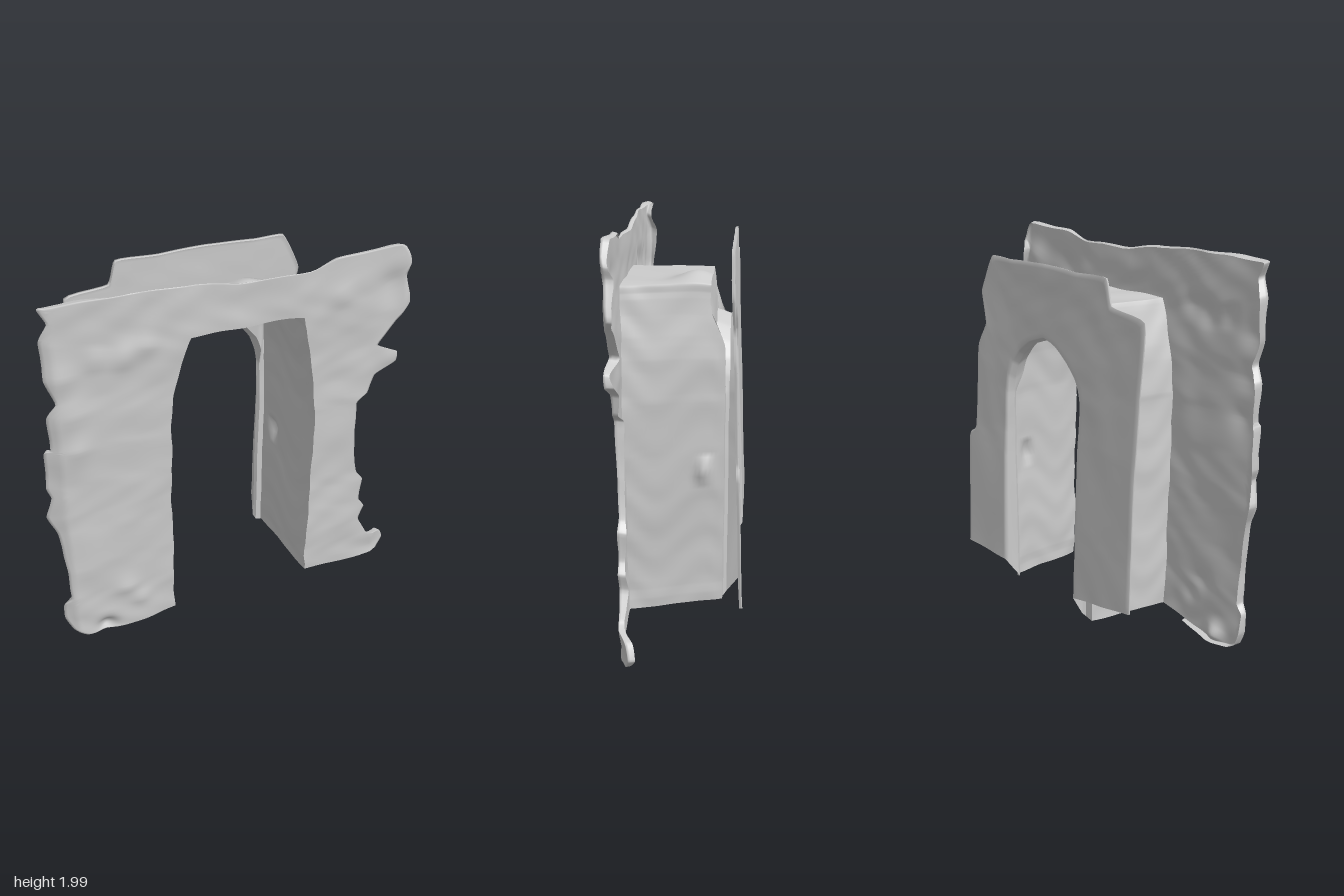
import * as THREE from 'three';

const stone = new THREE.MeshStandardMaterial({ color: 0xcccccc, side: THREE.DoubleSide });

// Local swellings and dents: centre, push, radius
const bumps = [
  [[0.2, 1.73, -0.06], [0, 0.05, 0], 0.1],
  [[0.38, 0.82, -0.11], [0.05, 0, 0], 0.035],
  [[-0.28, 0.85, -0.12], [-0.03, 0, 0], 0.04],
  [[-0.83, 1.63, 0.28], [0, 0, 0.02], 0.08],
  [[-0.82, 1.42, 0.28], [0, 0, 0.018], 0.08],
  [[-0.8, 1.22, 0.28], [0, 0, 0.015], 0.07],
  [[-0.68, 1.69, 0.29], [0, 0, 0.015], 0.06],
  [[-0.55, 1.69, 0.29], [0, 0, 0.015], 0.06],
  [[-0.44, 1.71, 0.29], [0, 0, 0.014], 0.06],
  [[-0.72, 0.05, 0.26], [0, 0, -0.04], 0.05],
  [[-0.6, 0.3, 0.26], [0, 0, 0.012], 0.06],
  [[-0.52, 0.2, 0.26], [0, 0, 0.012], 0.05],
  [[0.82, 1.4, 0.28], [0, 0, 0.015], 0.07],
  [[0.9, 0.1, 0.26], [0, 0, -0.02], 0.08],
  [[0.8, 1.78, 0.28], [0, 0, -0.015], 0.08],
  [[0.52, 1.8, 0.29], [0, 0, 0.01], 0.07],
].map(([c, d, r]) => ({ c: new THREE.Vector3(...c), d: new THREE.Vector3(...d), r }));

// Weathering shared by all surfaces, so that neighbouring parts meet
function weather(p) {
  const { x, y, z } = p;
  const k = z < -0.18 ? 0.4 : 1;
  p.z += k * (0.004 * Math.sin(5 * x + 2) * Math.sin(9 * y + 2 * Math.sin(4 * x))
    + 0.003 * Math.sin(13 * x + 3 * Math.sin(5 * y)) * Math.sin(19 * y + 2 * Math.sin(7 * x))
    + 0.0012 * Math.sin(23 * x + 2 * Math.sin(11 * y)) * Math.sin(37 * y));
  p.x += k * (0.003 * Math.sin(11 * y + 7 * z) + 0.002 * Math.sin(31 * y + 3 * Math.sin(13 * z)));
  p.y += k * 0.003 * Math.sin(21 * x + 13 * z);
  // outer ends of the front wall curl back
  if (z > 0.1) p.z -= 0.5 * Math.max(0, Math.abs(x) - 0.87);
  for (const b of bumps) {
    const q = Math.hypot(x - b.c.x, y - b.c.y, z - b.c.z) / b.r;
    if (q < 3) p.addScaledVector(b.d, Math.exp(-q * q));
  }
  return p;
}

// Surface ruled between matching section curves
function loft(name, sections, rows, sub = 5) {
  const n = (sections[0].length - 1) * sub;
  const curves = sections.map(s => new THREE.CatmullRomCurve3(
    s.map(p => new THREE.Vector3(...p)), false, 'catmullrom', 0.2));
  const pos = [], index = [];
  const ring = (a, b, t) => {
    for (let i = 0; i <= n; i++) {
      const p = a.getPoint(i / n).lerp(b.getPoint(i / n), t);
      pos.push(...weather(p).toArray());
    }
  };
  curves.slice(1).forEach((c, k) => {
    for (let j = k ? 1 : 0; j <= rows[k]; j++) ring(curves[k], c, j / rows[k]);
  });
  const count = pos.length / 3 / (n + 1);
  for (let j = 0; j < count - 1; j++) {
    for (let i = 0; i < n; i++) {
      const a = j * (n + 1) + i, b = a + n + 1;
      index.push(a, b, a + 1, a + 1, b, b + 1);
    }
  }
  const g = new THREE.BufferGeometry();
  g.setAttribute('position', new THREE.Float32BufferAttribute(pos, 3));
  g.setIndex(index);
  g.computeVertexNormals();
  const mesh = new THREE.Mesh(g, stone);
  mesh.name = name;
  return mesh;
}

// Front wall: broken outer edge x, y paired with doorway edge x, y
const frontLeft = [
  [-0.5, 0.035, -0.34, 0.06], [-0.7, 0.012, -0.34, 0.075],
  [-0.83, 0.03, -0.34, 0.09], [-0.9, 0.08, -0.34, 0.12], [-0.93, 0.16, -0.34, 0.18],
  [-0.93, 0.26, -0.34, 0.26], [-0.89, 0.31, -0.34, 0.32], [-0.9, 0.5, -0.34, 0.5],
  [-0.92, 0.75, -0.34, 0.75], [-0.96, 0.85, -0.34, 0.85], [-0.93, 0.97, -0.338, 0.97],
  [-0.95, 1.03, -0.338, 1.03], [-0.94, 1.23, -0.335, 1.22], [-0.91, 1.25, -0.335, 1.26],
  [-0.91, 1.43, -0.315, 1.42], [-0.87, 1.51, -0.3, 1.5], [-0.91, 1.63, -0.275, 1.6],
  [-0.91, 1.82, -0.255, 1.67], [-0.87, 1.91, -0.245, 1.7], [-0.9, 1.98, -0.235, 1.72],
];
const frontTop = [
  [-0.75, 1.985, -0.215, 1.72], [-0.5, 1.985, -0.18, 1.72], [-0.2, 1.975, -0.1, 1.72],
  [0, 1.945, 0.02, 1.72], [0.35, 1.945, 0.15, 1.72], [0.5, 1.985, 0.25, 1.72],
];
const frontRight = [
  [0.83, 2, 0.325, 1.715], [0.89, 1.9, 0.335, 1.68], [0.87, 1.84, 0.345, 1.65],
  [0.91, 1.68, 0.36, 1.58], [0.85, 1.61, 0.37, 1.54], [0.75, 1.48, 0.385, 1.48],
  [0.86, 1.43, 0.395, 1.43], [0.86, 1.37, 0.405, 1.37], [0.75, 1.31, 0.41, 1.31],
  [0.72, 1.21, 0.42, 1.2], [0.66, 1.16, 0.425, 1.15], [0.68, 0.9, 0.435, 0.9],
  [0.71, 0.7, 0.435, 0.7], [0.75, 0.64, 0.435, 0.64], [0.74, 0.5, 0.435, 0.5],
  [0.78, 0.44, 0.435, 0.44], [0.76, 0.35, 0.435, 0.35], [0.83, 0.22, 0.435, 0.22],
  [0.94, 0.18, 0.435, 0.17], [0.97, 0.11, 0.44, 0.12], [0.92, 0.05, 0.44, 0.07],
];

// Rear wall: outer edge x, y, then arch edge x, y, then passage end x, y
const rear = [
  [-0.67, 0.34, -0.23, 0.25, -0.285, 0.1], [-0.66, 0.6, -0.23, 0.6, -0.28, 0.6],
  [-0.66, 1.05, -0.23, 1.08, -0.265, 1.08], [-0.67, 1.4, -0.24, 1.25, -0.255, 1.28],
  [-0.68, 1.74, -0.225, 1.32, -0.23, 1.5], [-0.46, 1.78, -0.2, 1.375, -0.205, 1.65],
  [-0.42, 1.9, -0.145, 1.435, -0.185, 1.72], [-0.2, 1.9, -0.05, 1.5, -0.07, 1.72],
  [0.04, 1.91, 0.04, 1.53, 0.04, 1.72], [0.3, 1.9, 0.15, 1.49, 0.15, 1.72],
  [0.46, 1.9, 0.23, 1.425, 0.31, 1.72], [0.56, 1.71, 0.28, 1.36, 0.325, 1.6],
  [0.52, 1.54, 0.31, 1.28, 0.345, 1.45], [0.59, 1.4, 0.325, 1.2, 0.36, 1.25],
  [0.62, 0.95, 0.33, 1, 0.37, 1], [0.68, 0.88, 0.33, 0.85, 0.372, 0.85],
  [0.69, 0.24, 0.33, 0.24, 0.372, 0.1],
];

export function createModel() {
  const group = new THREE.Group();
  group.name = 'ruinedArchway';
  const front = [...frontLeft, ...frontTop, ...frontRight];
  const frontZ = y => 0.257 + 0.018 * y;
  const rearZ = y => -0.25 - 0.038 * (1.9 - y);
  // the jambs run deeper than the ceiling
  const endZ = y => -0.21 + 0.07 * THREE.MathUtils.smoothstep(y, 1.4, 1.62);

  // Front wall with its edge folded back
  const doorway = front.map(([, , x, y]) => [x, y, frontZ(y)]);
  const outer = front.map(([x, y]) => [x, y, frontZ(y)]);
  const fold = front.map(([x, y], i) => [x * 0.985, Math.max(y - 0.008, 0.012),
    frontZ(y) - (Math.abs(x) > 0.55 ? 0.035 : 0.015) - 0.01 * Math.sin(i * 2.3)]);
  group.add(loft('frontWall', [doorway, outer, fold], [40, 3]));

  // Jambs and flat ceiling of the passage, narrowing to the rear
  const inner = front.map(([, , x, y]) => [
    x > 0.3 ? x * 0.55 + 0.13 : x > 0 ? x * 0.93 + 0.005 : x * 0.83,
    y + 0.04 * (1 - y / 1.72), endZ(y)]);
  group.add(loft('passage', [doorway, inner], [24]));

  // Face around the arch and the arch's soffit
  const passageEnd = rear.map(([, , , , x, y]) => [x, y, endZ(y)]);
  const archFront = rear.map(([, , x, y]) => [
    0.04 + (x - 0.04) * 1.04, y < 0.3 ? 0.11 : y + (y > 1.2 ? 0.025 : 0),
    y > 1.2 ? -0.165 : -0.213]);
  const archRear = rear.map(([, , x, y]) => [x, y < 0.3 ? 0.13 : y, -0.23]);
  group.add(loft('archFace', [passageEnd, archFront], [6]));
  group.add(loft('archSoffit', [archFront, archRear], [6]));

  // Rear wall, leaning out at the foot, rounded into the arch opening
  const lip = rear.map(([, , x, y]) => [0.04 + (x - 0.04) * 1.06, y + (y > 1.2 ? 0.02 : 0),
    rearZ(y) + 0.008]);
  const rearOuter = rear.map(([x, y]) => [x, y, rearZ(y)]);
  const rearFold = rear.map(([x, y]) => [x * 0.99, y - 0.004, rearZ(y) + 0.015]);
  group.add(loft('rearWall', [archRear, lip, rearOuter, rearFold], [4, 16, 2]));
  return group;
}
